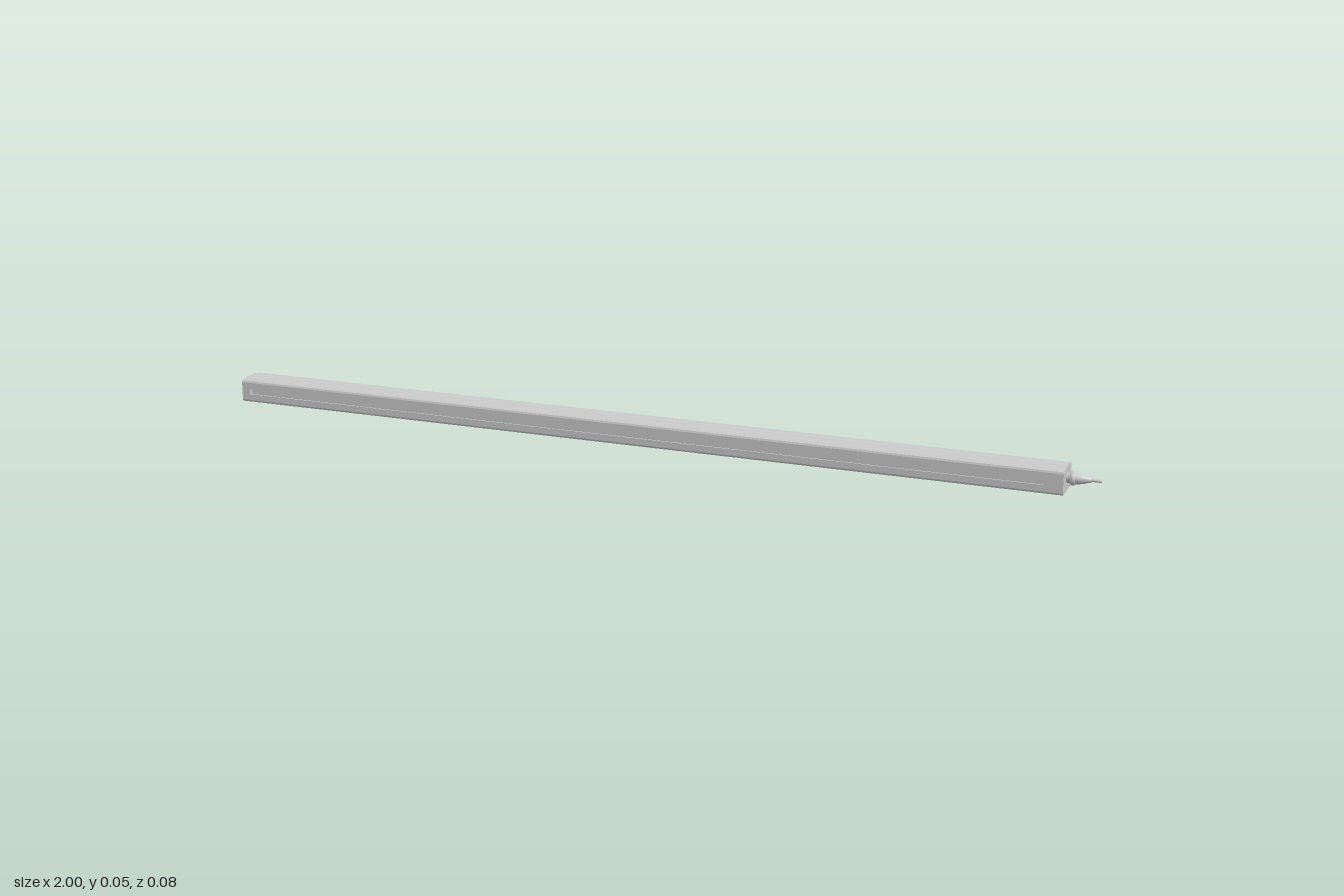
import * as THREE from 'three';

const mat = new THREE.MeshStandardMaterial({ color: 0xcccccc });

// Right half of the section, bottom to top: [across, height]
const lowerEdge = [[0.033, 0], [0.0365, 0.0015], [0.038, 0.005]];
const sideSlot = [[0.038, 0.019], [0.035, 0.019], [0.035, 0.016], [0.028, 0.016],
  [0.028, 0.035], [0.035, 0.035], [0.035, 0.032], [0.038, 0.032]];
const upperEdge = [[0.038, 0.046], [0.0365, 0.050], [0.033, 0.0525], [0.024, 0.0525],
  [0.020, 0.0545], [0.015, 0.055], [0.011, 0.0535]];

function section(slotted) {
  const half = [...lowerEdge, ...(slotted ? sideSlot : []), ...upperEdge];
  const mirrored = half.map(([u, v]) => [-u, v]).reverse();
  return new THREE.Shape([...half, ...mirrored].map(([u, v]) => new THREE.Vector2(u, v)));
}

// Extrude a section along the x axis
function bar(name, shape, x0, x1) {
  const geo = new THREE.ExtrudeGeometry(shape, { depth: x1 - x0, bevelEnabled: false });
  geo.rotateY(Math.PI / 2).translate(x0, 0, 0);
  const mesh = new THREE.Mesh(geo, mat);
  mesh.name = name;
  return mesh;
}

// Turned part around the x axis; points are [radius, x]
function turned(name, points, y, z) {
  const geo = new THREE.LatheGeometry(points.map(([r, x]) => new THREE.Vector2(r, x)), 32);
  geo.rotateZ(-Math.PI / 2);
  const mesh = new THREE.Mesh(geo, new THREE.MeshStandardMaterial({ color: 0xcccccc, side: THREE.DoubleSide }));
  mesh.position.set(0, y, z);
  mesh.name = name;
  return mesh;
}

export function createModel() {
  const group = new THREE.Group();

  // Slotted housing closed by a solid cap at each end
  group.add(bar('housing', section(true), -0.98, 0.89));
  group.add(bar('leftEndCap', section(false), 0.89, 0.93));
  group.add(bar('rightEndCap', section(false), -1, -0.98));

  // Recessed-head screws on opposite corners of each cap
  for (const [face, dir] of [[0.93, 1], [-1, -1]]) {
    for (const [y, z] of [[0.043, 0.03], [0.01, -0.029]]) {
      const at = (d) => face + dir * d;
      group.add(turned('capScrew', [[0.0075, at(-0.001)], [0.0075, at(0.001)],
        [0.005, at(0.001)], [0.005, at(0.0002)], [0, at(0.0002)]], y, z));
    }
  }

  // Cable gland: collar, nut, tapering sleeve
  group.add(turned('glandCollar', [[0.011, 0.928], [0.011, 0.938], [0.015, 0.938],
    [0.015, 0.945], [0.013, 0.948], [0.012, 0.948]], 0.029, 0));
  group.add(turned('strainRelief', [[0.012, 0.948], [0.0115, 0.955], [0.009, 0.966],
    [0.006, 0.976], [0.005, 0.98], [0.0035, 0.98]], 0.029, 0));
  group.add(turned('cable', [[0.0035, 0.975], [0.0035, 1], [0, 1]], 0.029, 0));

  return group;
}
